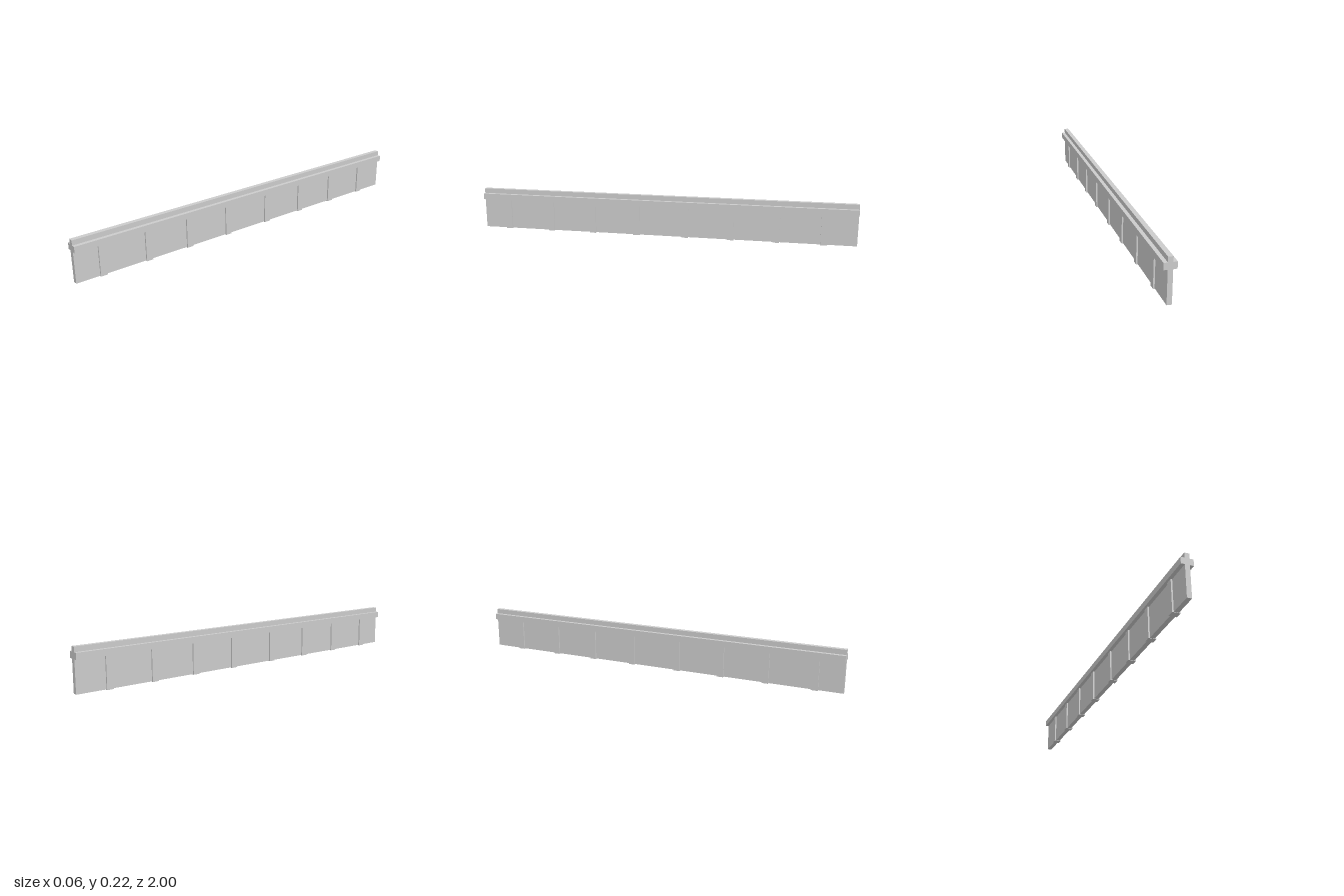
import * as THREE from 'three';

export function createModel() {
  const group = new THREE.Group();
  const material = new THREE.MeshStandardMaterial({ color: 0xcccccc, flatShading: true });

  // Wall with side ledges and a raised top, as one cross-section (half outline, mirrored)
  const half = [
    [0.0116, 0.002], [0.0116, 0.161], [0.03, 0.161],
    [0.03, 0.193], [0.0116, 0.193], [0.0116, 0.218],
  ];
  const outline = [...half, ...half.map(([x, y]) => [-x, y]).reverse()];
  const shape = new THREE.Shape(outline.map(([x, y]) => new THREE.Vector2(x, y)));
  const wallGeometry = new THREE.ExtrudeGeometry(shape, { depth: 2, bevelEnabled: false });
  wallGeometry.translate(0, 0, -1);
  const wall = new THREE.Mesh(wallGeometry, material);
  wall.name = 'wallWithRail';
  group.add(wall);

  // Pilasters on both faces, running from the ground to the underside of the ledge
  const postGeometry = new THREE.BoxGeometry(0.0074, 0.161, 0.034);
  const positions = [0.863, 0.619, 0.384, 0.143, -0.119, -0.359, -0.595, -0.835];
  for (const z of positions) {
    for (const side of [-1, 1]) {
      const post = new THREE.Mesh(postGeometry, material);
      post.name = side > 0 ? 'leftPilaster' : 'rightPilaster';
      post.position.set(side * 0.0153, 0.0805, z);
      group.add(post);
    }
    // Foot joining the two pilasters beneath the wall
    const foot = new THREE.Mesh(new THREE.BoxGeometry(0.0232, 0.002, 0.034), material);
    foot.name = 'pilasterFoot';
    foot.position.set(0, 0.001, z);
    group.add(foot);
  }

  return group;
}
